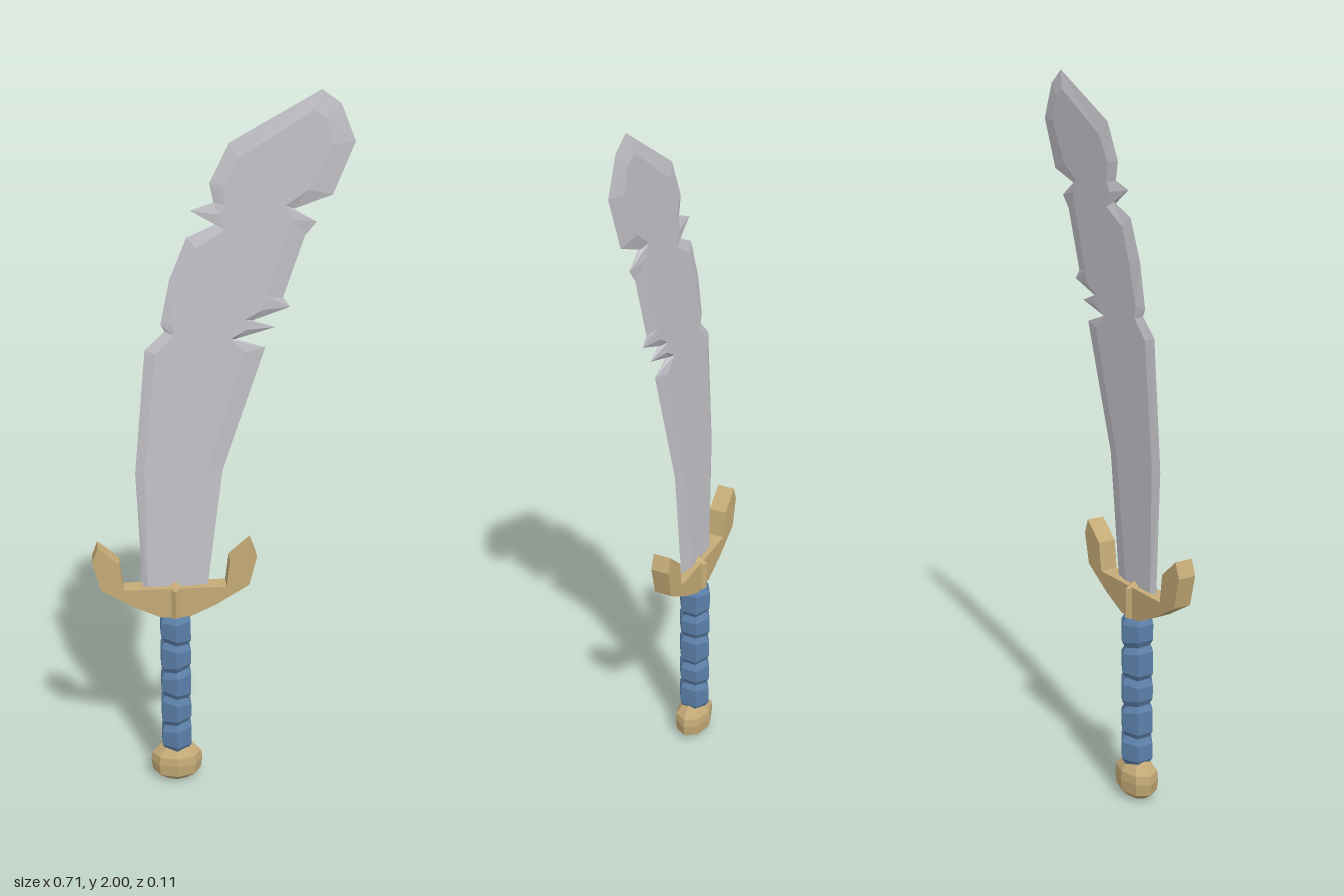
import * as THREE from 'three';

const steel = new THREE.MeshStandardMaterial({ color: 0xc2c2c8, flatShading: true });
steel.name = 'steel';
const brass = new THREE.MeshStandardMaterial({ color: 0xc4aa76, flatShading: true });
brass.name = 'brass';
const wrap = new THREE.MeshStandardMaterial({ color: 0x5c7fa8, flatShading: true });
wrap.name = 'blueWrap';

const AXIS = -0.125; // x of the hilt's centre line
const v2 = (p) => new THREE.Vector2(p[0], p[1]);

function part(name, geometry, material, x = 0) {
  const mesh = new THREE.Mesh(geometry, material);
  mesh.name = name;
  mesh.position.x = x;
  return mesh;
}

// Blade: a sharp rim at z = 0 bevelled up to a flat face on each side.
function bladeGeometry() {
  // up the back of the blade: rim x, y, then face x, y
  const back = [
    [-0.215, 0.6, -0.2, 0.6], [-0.23, 0.98, -0.205, 0.98], [-0.198, 1.33, -0.17, 1.32],
    [-0.145, 1.38, -0.12, 1.372], [-0.155, 1.4, -0.125, 1.405], [-0.13, 1.52, -0.095, 1.51],
    [-0.085, 1.63, -0.06, 1.605], [-0.005, 1.665, 0.015, 1.65], [-0.075, 1.7, 0.0, 1.69],
    [-0.015, 1.72, 0.015, 1.715], [-0.025, 1.77, 0.01, 1.765], [0.025, 1.87, 0.05, 1.835],
    [0.26, 2, 0.24, 1.95],
  ];
  // down the cutting edge
  const edge = [
    [0.31, 1.965, 0.27, 1.93], [0.35, 1.87, 0.29, 1.865], [0.295, 1.735, 0.23, 1.75],
    [0.195, 1.7, 0.17, 1.71], [0.255, 1.665, 0.185, 1.675], [0.225, 1.63, 0.175, 1.635],
    [0.17, 1.465, 0.125, 1.47], [0.19, 1.44, 0.115, 1.435], [0.09, 1.405, 0.07, 1.41],
    [0.15, 1.385, 0.075, 1.382], [0.045, 1.355, 0.03, 1.357], [0.125, 1.33, 0.07, 1.32],
    [0.01, 0.98, -0.035, 0.98], [-0.035, 0.6, -0.085, 0.6],
  ];
  const rows = [...back, ...edge];
  const face = rows.map((r) => new THREE.Vector2(r[2], r[3]));
  const faces = THREE.ShapeUtils.triangulateShape(face, []);
  const pos = [];
  for (const s of [1, -1]) {
    const rim = (r) => [r[0], r[1], 0];
    const flat = (r) => [r[2], r[3], 0.01 * s];
    const tri = (a, b, c) => (s > 0 ? pos.push(...a, ...b, ...c) : pos.push(...a, ...c, ...b));
    rows.forEach((r, i) => {
      const n = rows[(i + 1) % rows.length];
      tri(rim(r), flat(r), rim(n));
      tri(flat(r), flat(n), rim(n));
    });
    for (const [a, b, c] of faces) {
      const ccw = THREE.ShapeUtils.area([face[a], face[b], face[c]]) > 0;
      tri(flat(rows[a]), flat(rows[ccw ? b : c]), flat(rows[ccw ? c : b]));
    }
  }
  const g = new THREE.BufferGeometry();
  g.setAttribute('position', new THREE.Float32BufferAttribute(pos, 3));
  g.computeVertexNormals();
  return g;
}

// Guard: half outline mirrored about the hilt's centre line.
function guardGeometry() {
  const half = [
    [0.04, 0.545], [0.115, 0.58], [0.21, 0.638], [0.231, 0.725], [0.215, 0.768],
    [0.155, 0.715], [0.145, 0.635], [0.03, 0.635],
  ];
  const mirrored = half.map(([x, y]) => [-x, y]).reverse();
  const shape = new THREE.Shape([...half, ...mirrored].map(v2));
  const g = new THREE.ExtrudeGeometry(shape, { depth: 0.052, bevelEnabled: false });
  return g.translate(0, 0, -0.026);
}

// Grip: bulging bands with seams slanted alternately.
function gripGeometry() {
  const bands = 5, y0 = 0.105, h = 0.088;
  const profile = [];
  for (let i = 0; i < bands; i++) {
    const y = y0 + i * h;
    profile.push([0.038, y], [0.049, y + 0.2 * h], [0.049, y + 0.8 * h]);
  }
  profile.push([0.038, y0 + bands * h]);
  const g = new THREE.LatheGeometry(profile.map(v2), 6);
  const p = g.attributes.position;
  for (let i = 0; i < p.count; i++) {
    const seam = Math.round((p.getY(i) - y0) / h);
    if (seam === 0 || seam === bands) continue;
    p.setY(i, p.getY(i) + p.getX(i) * (seam % 2 ? 0.16 : -0.16));
  }
  g.computeVertexNormals();
  return g;
}

export function createModel() {
  const sword = new THREE.Group();
  sword.name = 'curvedSword';

  sword.add(part('blade', bladeGeometry(), steel));
  sword.add(part('guard', guardGeometry(), brass, AXIS));

  // Pointed ridge in the middle of the guard
  const ridge = [[0, 0.535], [0.038, 0.54], [0.038, 0.63], [0, 0.655]];
  sword.add(part('guardRidge', new THREE.LatheGeometry(ridge.map(v2), 4), brass, AXIS));

  sword.add(part('grip', gripGeometry(), wrap, AXIS));

  // Faceted pommel, flattened front to back
  const knob = [[0, 0], [0.04, 0.003], [0.071, 0.025], [0.076, 0.06], [0.072, 0.085], [0.042, 0.117], [0, 0.117]];
  const pommel = new THREE.LatheGeometry(knob.map(v2), 8).scale(1, 1, 0.7);
  sword.add(part('pommel', pommel, brass, AXIS));

  return sword;
}
